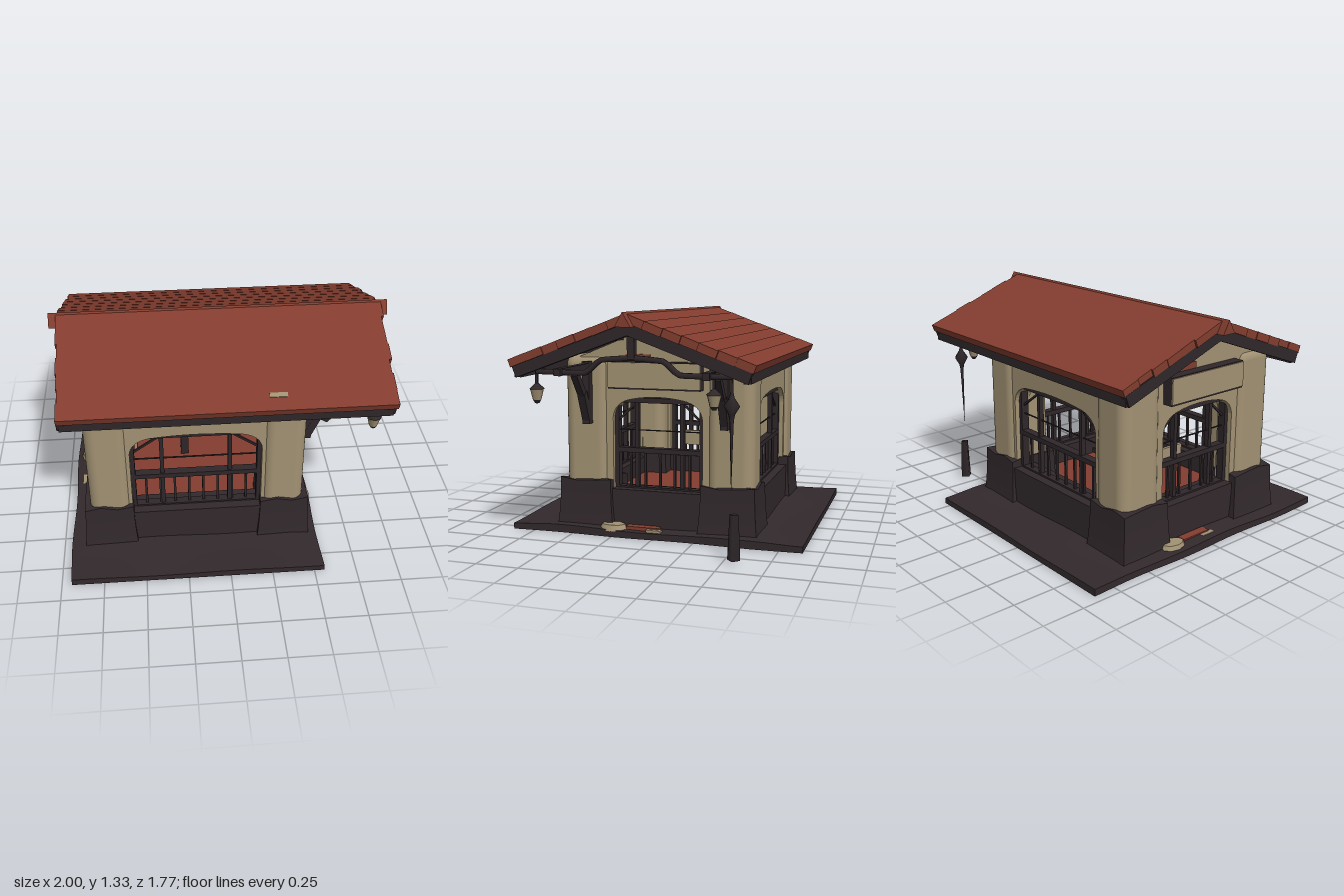
import * as THREE from 'three';
import { RoundedBoxGeometry } from 'three/addons/geometries/RoundedBoxGeometry.js';

const mat = (name, color) => {
  const m = new THREE.MeshStandardMaterial({ color });
  m.name = name;
  return m;
};

export function createModel() {
  const red = mat('red tile', 0x833d2f);
  const plaster = mat('beige plaster', 0xa29273);
  const stone = mat('dark stone', 0x32292c);
  const wood = mat('dark wood', 0x2f272a);
  const root = new THREE.Group();
  root.name = 'pavilion';

  const add = (name, geo, material, x = 0, y = 0, z = 0, parent = root) => {
    const m = new THREE.Mesh(geo, material);
    m.name = name;
    m.position.set(x, y, z);
    parent.add(m);
    return m;
  };
  // box given by its min and max corners
  const box = (name, material, a, b, parent = root) =>
    add(name, new THREE.BoxGeometry(b[0] - a[0], b[1] - a[1], b[2] - a[2]), material,
      (a[0] + b[0]) / 2, (a[1] + b[1]) / 2, (a[2] + b[2]) / 2, parent);
  // square bar between two points
  const bar = (name, material, a, b, t, parent = root) => {
    const p = new THREE.Vector3(...a), q = new THREE.Vector3(...b);
    const m = add(name, new THREE.BoxGeometry(t, t, p.distanceTo(q)), material, 0, 0, 0, parent);
    m.position.copy(p).add(q).multiplyScalar(0.5);
    m.lookAt(q);
    return m;
  };

  const CX = -0.18; // centre of the room in x
  const HX = 0.64, HZ = 0.58; // half sizes of the room

  // ground slab, uneven and rising a little towards the walls
  const slab = new THREE.BoxGeometry(1.5, 0.04, 1.77, 20, 1, 24);
  const sp = slab.attributes.position;
  for (let i = 0; i < sp.count; i++) {
    const x = sp.getX(i), z = sp.getZ(i);
    const d = Math.max(Math.abs(x) - HX, Math.abs(z) - HZ, 0);
    if (sp.getY(i) > 0) sp.setY(i, 0.018 + 0.006 * Math.sin(x * 7) * Math.cos(z * 6) + 0.02 * Math.exp(-d * 14));
    sp.setX(i, x + 0.006 * Math.sin(z * 8));
  }
  slab.computeVertexNormals();
  add('groundSlab', slab, stone, -0.195, 0.02, 0);
  box('floor', red, [CX - 0.6, 0.04, -0.54], [CX + 0.6, 0.16, 0.54]);

  // corner piers on flared stone footings
  for (const sx of [-1, 1]) for (const sz of [-1, 1]) {
    add('cornerPier', new RoundedBoxGeometry(0.25, 0.86, 0.28, 5, 0.065), plaster,
      CX + sx * (HX - 0.125), 0.64, sz * (HZ - 0.14));
    const foot = new THREE.BoxGeometry(0.29, 0.3, 0.32, 3, 4, 3);
    const p = foot.attributes.position;
    for (let i = 0; i < p.count; i++) {
      const k = 1.0 + 0.12 * Math.pow(0.5 - p.getY(i) / 0.3, 2);
      p.setX(i, p.getX(i) * k);
      p.setZ(i, p.getZ(i) * k);
      if (p.getY(i) > 0.14) p.setY(i, 0.15 + 0.01 * Math.sin(p.getX(i) * 30 + p.getZ(i) * 21 * sx));
    }
    foot.computeVertexNormals();
    add('cornerFooting', foot, stone, CX + sx * (HX - 0.115), 0.17, sz * (HZ - 0.143));
  }

  // wall with an arched opening; half width hw, opening from a to b
  const archWall = (hw, a, b, top, peak) => {
    const s = new THREE.Shape();
    s.moveTo(-hw, 0.25); s.lineTo(hw, 0.25); s.lineTo(hw, top);
    if (peak) s.lineTo(0, peak);
    s.lineTo(-hw, top); s.closePath();
    const h = new THREE.Path();
    h.moveTo(a, 0.26); h.lineTo(a, 0.7);
    h.quadraticCurveTo(a + 0.01, 0.79, a + 0.12, 0.81);
    h.quadraticCurveTo((a + b) / 2, 0.84, b - 0.12, 0.81);
    h.quadraticCurveTo(b - 0.01, 0.79, b, 0.7);
    h.lineTo(b, 0.26); h.closePath();
    s.holes.push(h);
    return new THREE.ExtrudeGeometry(s, { depth: 0.11, bevelEnabled: false, curveSegments: 8 });
  };
  // window frame, rail and balusters, in the plane z = 0
  const windowFrame = (a, b, posts) => {
    const g = new THREE.Group();
    g.name = 'windowFrame';
    const w = 0.025;
    box('topRail', wood, [a, 0.785, -w], [b, 0.815, w], g);
    box('handRail', wood, [a, 0.485, -w], [b, 0.515, w], g);
    box('bottomRail', wood, [a, 0.265, -w], [b, 0.28, w], g);
    box('thinBar', wood, [a, 0.617, -0.004], [b, 0.623, 0.004], g);
    for (const x of [a + 0.01, b - 0.01]) box('sidePost', wood, [x - 0.015, 0.27, -w], [x + 0.015, 0.8, w], g);
    for (const x of posts) box('mullion', wood, [x - 0.012, 0.27, -0.015], [x + 0.012, 0.8, 0.015], g);
    bar('brace', wood, [a, 0.66, 0], [posts[0], 0.79, 0], 0.012, g);
    bar('brace', wood, [b, 0.66, 0], [posts[1], 0.79, 0], 0.012, g);
    const n = Math.round((b - a) / 0.085);
    for (let i = 1; i < n; i++) {
      const x = a + ((b - a) * i) / n;
      box('baluster', wood, [x - 0.007, 0.28, -0.007], [x + 0.007, 0.49, 0.007], g);
    }
    return g;
  };

  const sides = [
    { name: 'frontSide', ry: 0, pos: [CX, 0, HZ - 0.13], long: true },
    { name: 'backSide', ry: Math.PI, pos: [CX, 0, -HZ + 0.13], long: true },
    { name: 'leftSide', ry: Math.PI / 2, pos: [CX + HX - 0.13, 0, 0] },
    { name: 'rightSide', ry: -Math.PI / 2, pos: [CX - HX + 0.13, 0, 0] },
  ];
  for (const s of sides) {
    const g = new THREE.Group();
    g.name = s.name;
    const o = s.long ? 0.385 : 0.275;
    const hw = s.long ? HX - 0.06 : HZ - 0.06;
    add('wall', archWall(hw, -o, o, 1.04, s.long ? 0 : 1.25), plaster, 0, 0, 0, g);
    box('stoneSill', stone, [-o - 0.06, 0.03, -0.02], [o + 0.06, 0.27, 0.135], g);
    const f = windowFrame(-o, o, s.long ? [-0.2, 0.2] : [-0.14, 0.14]);
    f.position.z = 0.055;
    g.add(f);
    if (!s.long) {
      // blank board under the gable with a dark back and lower edge
      box('boardBack', wood, [-0.28, 0.875, 0.1], [0.28, 1.035, 0.175], g);
      box('board', plaster, [-0.28, 0.885, 0.174], [0.28, 1.03, 0.182], g);
      box('gablePatch', red, [-0.19, 1.037, 0.11], [-0.04, 1.075, 0.116], g);
      // doorstep stones
      const step = add('stepStone', new THREE.CylinderGeometry(0.07, 0.09, 0.035, 9), plaster, -0.25, 0.053, 0.18, g);
      step.scale.z = 0.65;
      box('stepTile', red, [-0.17, 0.04, 0.14], [0.03, 0.062, 0.19], g);
      box('stepPebble', plaster, [-0.04, 0.04, 0.18], [0.05, 0.055, 0.215], g);
    }
    g.position.set(...s.pos);
    g.rotation.y = s.ry;
    root.add(g);
  }

  // bench inside with a solid end and a pale back panel
  box('benchTop', wood, [-0.54, 0.43, -0.3], [-0.22, 0.46, -0.08]);
  box('benchEnd', wood, [-0.25, 0.15, -0.2], [-0.2, 0.46, -0.08]);
  box('benchLeg', wood, [-0.53, 0.15, -0.29], [-0.505, 0.43, -0.265]);
  box('benchBack', plaster, [-0.55, 0.38, -0.08], [-0.53, 0.48, 0.12]);

  // roof: overlapping tile courses on each slope
  const slope = 0.365, tilt = Math.atan(slope), topY = (z) => 1.322 - slope * Math.abs(z);
  const N = 7, run = 0.685 / N;
  for (const s of [-1, 1]) {
    for (let i = 0; i < N; i++) {
      const z = (i + 0.5) * run;
      const len = 1.91 - i * 0.006 + 0.01 * Math.sin(i * 2.3 + s);
      const m = add('tileCourse', new THREE.BoxGeometry(len, 0.045, run * 1.12), red,
        0.004 * Math.sin(i * 4 + s), topY(z) - 0.024, s * z);
      m.rotation.x = s * (tilt + 0.015);
    }
    // dark eaves board, purlins and barge boards
    box('eavesBoard', wood, [-0.93, 0.97, s * 0.645 - 0.02], [0.92, 1.045, s * 0.645 + 0.02]);
    for (const z of [0.22, 0.43])
      box('purlin', wood, [-0.92, topY(z) - 0.085, s * z - 0.015], [0.92, topY(z) - 0.045, s * z + 0.015]);
    for (const x of [-0.92, 0.91]) {
      const b = add('bargeBoard', new THREE.BoxGeometry(0.045, 0.07, 0.71), wood, x, topY(0.33) - 0.078, s * 0.33);
      b.rotation.x = s * tilt;
    }
    const r = add('rafter', new THREE.BoxGeometry(0.035, 0.04, 0.7), wood, 0.68, topY(0.33) - 0.066, s * 0.33);
    r.rotation.x = s * tilt;
  }
  // three-sided ridge running out past both gables
  const ridge = new THREE.CylinderGeometry(0.052, 0.052, 2, 3, 1, false, Math.PI / 2).toNonIndexed();
  ridge.computeVertexNormals();
  add('ridge', ridge, red, 0, 1.28, 0).rotation.z = Math.PI / 2;
  box('ridgeBeam', wood, [-0.92, 1.2, -0.025], [0.92, 1.25, 0.025]);
  const patch = add('paleTile', new THREE.BoxGeometry(0.1, 0.009, 0.03), plaster, 0.28, topY(0.6), 0.6);
  patch.rotation.x = tilt;

  // open truss under the long overhang
  const tie = new THREE.CatmullRomCurve3([[0.56, 1.0], [0.27, 1.0], [0.18, 1.07], [0, 1.085], [-0.18, 1.07], [-0.27, 1.0], [-0.56, 1.0]]
    .map(([z, y]) => new THREE.Vector3(0.86, y, z)), false, 'catmullrom', 0.2);
  add('archedTie', new THREE.TubeGeometry(tie, 40, 0.017, 6), wood);
  box('kingPost', wood, [0.84, 1.08, -0.02], [0.88, 1.25, 0.02]);
  for (const s of [-1, 1]) {
    const z = s * 0.42;
    // wall brackets
    box('bracketPost', wood, [0.46, 0.66, z - 0.022], [0.51, 1.03, z + 0.022]);
    bar('bracketBrace', wood, [0.49, 0.69, z], [0.56, 0.85, z], 0.045);
    bar('bracketBrace', wood, [0.55, 0.83, z], [0.66, 0.97, z], 0.04);
    box('bracketArm', wood, [0.46, 0.98, z - 0.02], [0.9, 1.02, z + 0.02]);
  }

  // hanging lanterns
  for (const z of [0.57, -0.45]) {
    const g = new THREE.Group();
    g.name = 'lantern';
    g.position.set(0.84, 0, z);
    add('lanternBody', new THREE.CylinderGeometry(0.04, 0.025, 0.06, 8), plaster, 0, 0.87, 0, g);
    add('lanternCap', new THREE.ConeGeometry(0.045, 0.04, 8), wood, 0, 0.92, 0, g);
    add('lanternBase', new THREE.CylinderGeometry(0.025, 0.012, 0.02, 8), wood, 0, 0.83, 0, g);
    box('lanternHook', wood, [-0.007, 0.93, -0.007], [0.007, 1.02, 0.007], g);
    root.add(g);
  }

  // rain chain with its weight and ground post
  const chain = [[0.001, 0.4], [0.007, 0.6], [0.008, 0.66], [0.012, 0.77], [0.018, 0.8], [0.045, 0.845], [0.015, 0.89], [0.008, 0.92], [0.008, 1.02]]
    .map(([r, y]) => new THREE.Vector2(r, y));
  add('rainChain', new THREE.LatheGeometry(chain, 6), wood, 0.84, 0, -0.545);
  add('chainPost', new THREE.CylinderGeometry(0.025, 0.036, 0.25, 4), wood, 0.83, 0.14, -0.56);
  return root;
}
